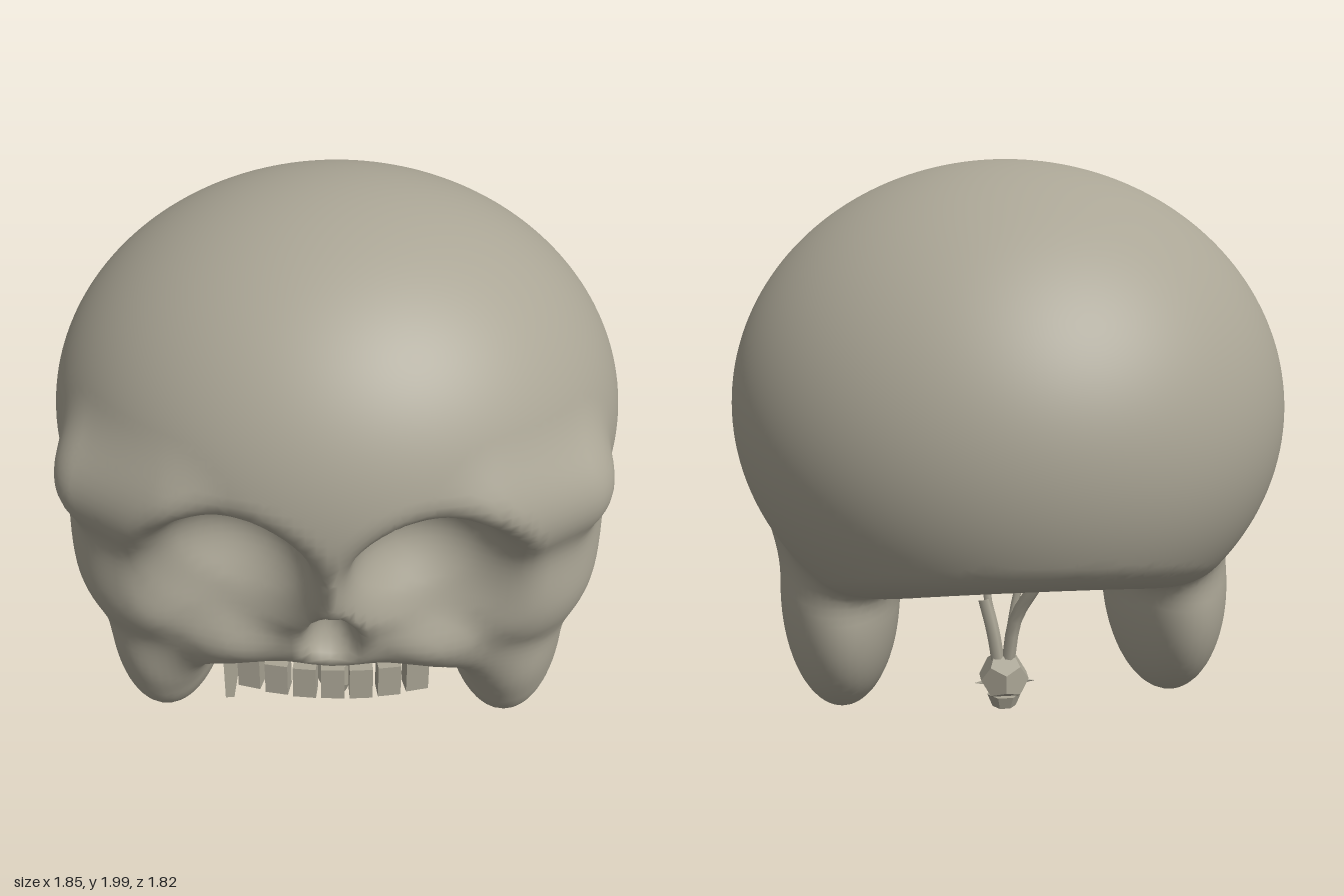
import * as THREE from 'three';

const bone = new THREE.MeshStandardMaterial({ color: 0xaaa595 });
bone.name = 'bone';
const boneThin = bone.clone();
boneThin.name = 'bone';
boneThin.side = THREE.DoubleSide;

// Distance helpers for the blended skull form
const smin = (a, b, k) => {
  const h = Math.max(k - Math.abs(a - b), 0) / k;
  return Math.min(a, b) - h * h * k / 4;
};
const smax = (a, b, k) => -smin(-a, -b, k);
function ellipsoid(x, y, z, c, r) {
  const dx = (x - c[0]) / r[0], dy = (y - c[1]) / r[1], dz = (z - c[2]) / r[2];
  const k0 = Math.hypot(dx, dy, dz);
  const k1 = Math.hypot(dx / r[0], dy / r[1], dz / r[2]);
  return k1 < 1e-6 ? -Math.min(...r) : k0 * (k0 - 1) / k1;
}
function capsule(x, y, z, a, b, r) {
  const ab = b.map((v, i) => v - a[i]), ap = [x - a[0], y - a[1], z - a[2]];
  const dot = (u, v) => u[0] * v[0] + u[1] * v[1] + u[2] * v[2];
  const t = Math.min(1, Math.max(0, dot(ap, ab) / dot(ab, ab)));
  return Math.hypot(ap[0] - ab[0] * t, ap[1] - ab[1] * t, ap[2] - ab[2] * t) - r;
}

// The skull, mirrored across x
function skullField(px, y, z) {
  const x = Math.abs(px);
  // braincase, leaning up towards the front, with a sloped base
  let d = ellipsoid(x, y - 0.08 * z, z, [0, 1.2, 0], [0.925, 0.797, 0.91]);
  const base = smax(0.6, 0.6 - 0.38 * (z + 0.3), 0.08);
  d = smax(d, (base - y) * 0.93, 0.06);
  // brow, cheek, upper jaw and the ridge running down to the lobe
  d = smin(d, capsule(x, y, z, [0.42, 1.25, 0.68], [0.69, 1.23, 0.52], 0.14), 0.14);
  d = smin(d, ellipsoid(x, y, z, [0.53, 0.87, 0.28], [0.335, 0.37, 0.4]), 0.12);
  d = smin(d, capsule(x, y, z, [0, 0.71, 0.61], [0.3, 0.7, 0.55], 0.11), 0.1);
  d = smin(d, capsule(x, y, z, [0.3, 0.74, 0.58], [0.55, 0.52, 0.43], 0.12), 0.1);
  // eye sockets, nose opening and hollow underside
  d = smax(d, -ellipsoid(x, y, z, [0.3, 1.1, 0.87], [0.25, 0.21, 0.29]), 0.1);
  d = smax(d, -ellipsoid(x, y, z, [0.38, 0.95, 0.93], [0.3, 0.27, 0.28]), 0.1);
  const noseHalf = Math.max(0.03, 0.1 + 0.25 * (0.75 - y));
  d = smax(d, -ellipsoid(x, y, z, [0, 0.78, 0.78], [noseHalf, 0.16, 0.15]), 0.04);
  d = smax(d, -ellipsoid(x, y, z, [0, 0.57, -0.1], [0.42, 0.23, 0.57]), 0.08);
  // side lobes hanging below the cheeks
  return smin(d, ellipsoid(x, y, z, [0.592, 0.5, 0.14], [0.212, 0.42, 0.42]), 0.1);
}

// Wraps a smooth mesh around the zero level of a field
function surfaceFrom(field, min, max, step) {
  const n = min.map((v, i) => Math.ceil((max[i] - v) / step) + 1);
  const id = (i, j, k) => i + n[0] * (j + n[1] * k);
  const stride = [1, n[0], n[0] * n[1]];
  const val = new Float32Array(n[0] * n[1] * n[2]);
  const eachCell = (fn) => {
    for (let k = 0; k < n[2]; k++) for (let j = 0; j < n[1]; j++) for (let i = 0; i < n[0]; i++) fn(i, j, k);
  };
  eachCell((i, j, k) => {
    val[id(i, j, k)] = field(min[0] + i * step, min[1] + j * step, min[2] + k * step);
  });
  const grad = (p) => [0, 1, 2].map((a) => {
    const e = 0.004, q = [...p], r = [...p];
    q[a] += e; r[a] -= e;
    return (field(...q) - field(...r)) / (2 * e);
  });
  // one vertex per crossed cell, pulled onto the surface
  const vertex = new Int32Array(val.length).fill(-1), pos = [], nor = [], index = [];
  eachCell((i, j, k) => {
    if (i === n[0] - 1 || j === n[1] - 1 || k === n[2] - 1) return;
    const c = id(i, j, k), sum = [0, 0, 0];
    let count = 0;
    for (let m = 0; m < 8; m++) for (let a = 0; a < 3; a++) {
      if (m >> a & 1) continue;
      const off = [m & 1, m >> 1 & 1, m >> 2 & 1];
      const s = c + off[0] * stride[0] + off[1] * stride[1] + off[2] * stride[2];
      const v0 = val[s], v1 = val[s + stride[a]];
      if ((v0 < 0) === (v1 < 0)) continue;
      off[a] = v0 / (v0 - v1);
      off.forEach((o, b) => { sum[b] += o; });
      count++;
    }
    if (!count) return;
    const p = [i, j, k].map((v, a) => min[a] + (v + sum[a] / count) * step);
    const g = grad(p), len2 = g[0] ** 2 + g[1] ** 2 + g[2] ** 2 || 1;
    const move = Math.max(-step / 3, Math.min(step / 3, field(...p) / len2));
    vertex[c] = pos.length / 3;
    pos.push(...p.map((v, a) => v - g[a] * move));
    nor.push(...g.map((v) => v / Math.sqrt(len2)));
  });
  // one quad per crossed grid edge
  eachCell((i, j, k) => {
    const at = [i, j, k], c = id(i, j, k);
    for (let a = 0; a < 3; a++) {
      const u = (a + 1) % 3, v = (a + 2) % 3;
      if (!at[u] || !at[v] || at[a] === n[a] - 1) continue;
      const inside = val[c] < 0;
      if (inside === (val[c + stride[a]] < 0)) continue;
      const q = [c - stride[u] - stride[v], c - stride[v], c, c - stride[u]].map((s) => vertex[s]);
      if (!inside) q.reverse();
      index.push(q[0], q[1], q[2], q[0], q[2], q[3]);
    }
  });
  const geo = new THREE.BufferGeometry();
  geo.setAttribute('position', new THREE.Float32BufferAttribute(pos, 3));
  geo.setAttribute('normal', new THREE.Float32BufferAttribute(nor, 3));
  geo.setIndex(index);
  return geo;
}

// Splits a geometry into flat facets
function faceted(geo) {
  const flat = geo.toNonIndexed();
  flat.computeVertexNormals();
  return flat;
}

export function createModel() {
  const model = new THREE.Group();
  model.name = 'skull';
  const add = (name, geo, x = 0, y = 0, z = 0, mat = bone) => {
    const mesh = new THREE.Mesh(geo, mat);
    mesh.name = name;
    mesh.position.set(x, y, z);
    model.add(mesh);
    return mesh;
  };

  add('skullShell', surfaceFrom(skullField, [-1.01, -0.02, -1.01], [1.01, 2.1, 1.01], 0.03));

  // Row of teeth along a shallow arc
  for (let i = -3; i <= 3; i++) {
    const tooth = add('tooth', new THREE.BoxGeometry(0.076, 0.125, 0.06), i * 0.091, 0.485 - 0.003 * Math.abs(i), 0.59 - 0.006 * i * i);
    tooth.rotation.y = i * 0.08;
  }

  // Throat knob with a small foot and side spikes
  const knob = faceted(new THREE.DodecahedronGeometry(0.095, 0));
  add('throatKnob', knob, 0, 0.125, 0.14);
  add('throatFoot', faceted(new THREE.CylinderGeometry(0.065, 0.045, 0.05, 7)), 0, 0.035, 0.14);
  for (const s of [-1, 1]) {
    const spike = add('throatSpike', new THREE.ConeGeometry(0.012, 0.06, 5), s * 0.085, 0.11, 0.12);
    spike.rotation.z = -s * Math.PI / 2;
  }

  // Slender throat bones fanning upwards
  const bones = [
    [[-0.015, 0.17, 0.14], [-0.04, 0.36, 0.11], [-0.1, 0.5, 0.05], [-0.16, 0.62, 0]],
    [[0.02, 0.17, 0.14], [0.04, 0.3, 0.14], [0.07, 0.43, 0.15]],
    [[-0.02, 0.3, 0.13], [-0.05, 0.46, 0.13], [-0.1, 0.6, 0.12]],
    [[0.05, 0.36, 0.14], [0.07, 0.5, 0.15], [0.11, 0.62, 0.17]],
    [[-0.1, 0.52, 0.05], [-0.17, 0.57, 0.02], [-0.24, 0.6, 0.02]],
  ];
  bones.forEach((pts, i) => {
    const curve = new THREE.CatmullRomCurve3(pts.map((p) => new THREE.Vector3(...p)));
    add('throatBone', new THREE.TubeGeometry(curve, 8, i < 2 ? 0.025 : 0.015, 7));
  });
  add('throatDisc', new THREE.CylinderGeometry(0.055, 0.055, 0.04, 12), -0.16, 0.63, 0);

  // Loose bone splinters under the palate
  const outline = [[-0.03, 0.1], [0.03, 0.09], [0, -0.08], [-0.03, -0.07]];
  const shardGeo = new THREE.ShapeGeometry(new THREE.Shape(outline.map((p) => new THREE.Vector2(...p))));
  const shards = [[-0.335, 0.43, 0.55, 0.4], [0.27, 0.55, 0.1, 1.1], [-0.25, 0.56, 0.15, -0.8], [0.2, 0.57, 0.32, 0.2]];
  shards.forEach(([x, y, z, turn]) => {
    add('splinter', shardGeo, x, y, z, boneThin).rotation.y = turn;
  });
  return model;
}
